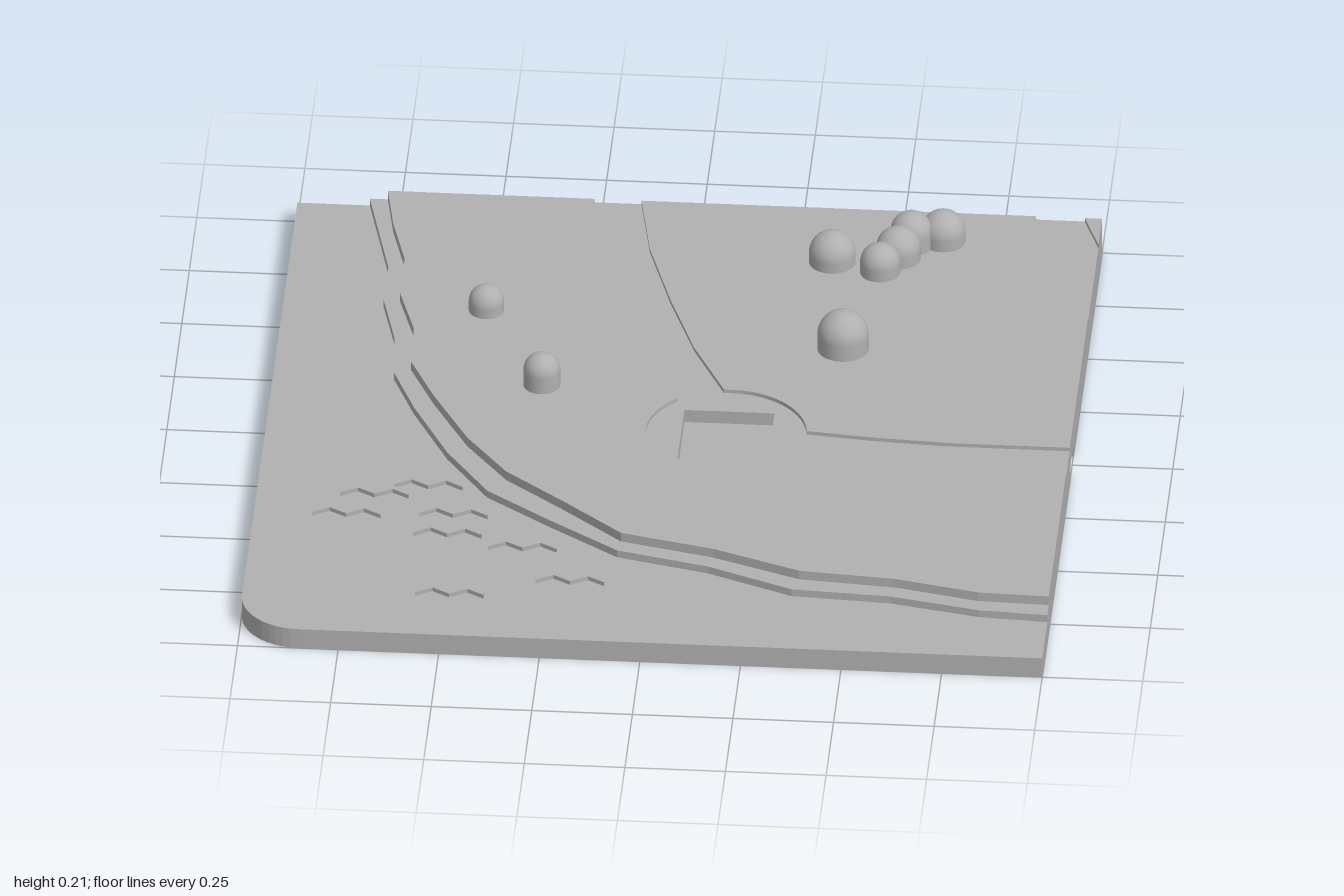
import * as THREE from 'three';

const stone = new THREE.MeshStandardMaterial({ color: 0xb0b0b0 });
stone.name = 'stone grey';

// Heights of the stacked levels
const NOTCH = 0.035, SEA = 0.055, BEACH = 0.075, PATH = 0.09, LAND = 0.1;

// Flat slab between two heights, outlined by [x, z] points
function slab(name, outline, y0, y1, holes = []) {
  const toVec = ([x, z]) => new THREE.Vector2(x, -z);
  const shape = new THREE.Shape(outline.map(toVec));
  for (const h of holes) shape.holes.push(new THREE.Path(h.map(toVec)));
  const geo = new THREE.ExtrudeGeometry(shape, { depth: y1 - y0, bevelEnabled: false });
  geo.rotateX(-Math.PI / 2).translate(0, y0, 0);
  const mesh = new THREE.Mesh(geo, stone);
  mesh.name = name;
  return mesh;
}

// Points on a circle from angle a to angle b (z = sin)
function arc(cx, cz, r, a, b, n) {
  const pts = [];
  for (let i = 0; i <= n; i++) {
    const t = a + ((b - a) * i) / n;
    pts.push([cx + r * Math.cos(t), cz + r * Math.sin(t)]);
  }
  return pts;
}

// Round-topped tree standing on the land
function tree(x, z, r, top) {
  const profile = [new THREE.Vector2(r, LAND)];
  for (let i = 0; i <= 12; i++) {
    const t = (i / 12) * Math.PI / 2;
    profile.push(new THREE.Vector2(i === 12 ? 0 : r * Math.cos(t), top - r + r * Math.sin(t)));
  }
  const mesh = new THREE.Mesh(new THREE.LatheGeometry(profile, 32), stone);
  mesh.position.set(x, 0, z);
  mesh.name = 'tree';
  return mesh;
}

// Zigzag ripple on the sea
function wave(x, z) {
  const steps = [-0.085, -0.043, 0, 0.043, 0.085];
  const edge = (off) => steps.map((dx, i) => [x + dx, z + (i % 2 ? -0.014 : 0.012) + off]);
  return slab('wave', [...edge(-0.008), ...edge(0.008).reverse()], SEA, 0.066);
}

export function createModel() {
  const model = new THREE.Group();
  model.name = 'coastTile';

  // Base with one rounded corner; the lower layer has dovetail connector slots
  const corner = arc(-0.85, 0.85, 0.15, Math.PI / 2, Math.PI, 12);
  const rightSlot = [[1, -0.04], [0.85, -0.08], [0.85, 0.09], [1, 0.05]];
  const backSlot = [[-0.5, -1], [-0.54, -0.85], [-0.37, -0.85], [-0.41, -1]];
  model.add(slab('slottedBase',
    [[-1, -1], ...backSlot, [1, -1], ...rightSlot, [1, 1], ...corner], 0, NOTCH));
  model.add(slab('sea', [[-1, -1], [1, -1], [1, 1], ...corner], NOTCH, SEA));

  // Coast terraces, pierced by the square pit
  const shore = [[-0.82, -1], [-0.786, -0.845], [-0.75, -0.68], [-0.75, -0.525], [-0.71, -0.35],
    [-0.7, -0.19], [-0.637, -0.027], [-0.54, 0.176], [-0.428, 0.348], [-0.262, 0.476],
    [-0.086, 0.604], [0.144, 0.663], [0.358, 0.754], [0.604, 0.77], [0.829, 0.818], [1, 0.829]];
  const cliff = [[-0.775, -1], [-0.75, -0.845], [-0.71, -0.685], [-0.71, -0.525], [-0.663, -0.36],
    [-0.658, -0.203], [-0.588, -0.043], [-0.492, 0.144], [-0.385, 0.294], [-0.235, 0.422],
    [-0.08, 0.561], [0.155, 0.62], [0.374, 0.706], [0.615, 0.727], [0.824, 0.775], [1, 0.781]];
  const pit = [[0.033, -0.043], [0.257, -0.043], [0.257, 0.187], [0.033, 0.187]];
  model.add(slab('beach', [...shore, [1, -1]], SEA, BEACH, [pit]));
  model.add(slab('pathLevel', [...cliff, [1, -1]], BEACH, PATH, [pit]));

  // Raised land, leaving the paths, round plaza and stream sunken
  const cx = 0.145, cz = 0.07, r = 0.2;
  const angle = (x, z) => Math.atan2(z - cz, x - cx);
  const plazaWest = arc(cx, cz, r, angle(0.325, 0.16), angle(0.015, -0.08) + 2 * Math.PI, 36);
  const plazaEast = arc(cx, cz, r, angle(0.125, -0.13), angle(0.34, 0.05), 18);
  model.add(slab('westLand', [...cliff,
    [1, 0.2], [0.92, 0.2], [0.78, 0.197], [0.57, 0.182], ...plazaWest,
    [-0.075, -0.305], [-0.155, -0.535], [-0.222, -0.775], [-0.262, -1]], PATH, LAND));
  model.add(slab('eastLand', [[-0.145, -1], [-0.107, -0.775], [-0.037, -0.535], [0.037, -0.32],
    ...plazaEast, [0.51, 0.068], [0.7, 0.08], [1, 0.08],
    [1, -0.53], [0.93, -0.68], [0.872, -0.855], [0.835, -1]], PATH, LAND));
  model.add(slab('cornerLand', [[0.957, -1], [1, -1], [1, -0.877]], PATH, LAND));

  // Trees: x, z, radius, top height
  const trees = [[-0.49, -0.46, 0.044, 0.17], [-0.327, -0.12, 0.046, 0.19],
    [0.405, -0.345, 0.064, 0.206], [0.348, -0.75, 0.058, 0.185], [0.47, -0.71, 0.05, 0.18],
    [0.51, -0.78, 0.056, 0.185], [0.538, -0.84, 0.052, 0.195], [0.615, -0.868, 0.055, 0.185]];
  for (const t of trees) model.add(tree(...t));

  // Sea ripples
  const waves = [[-0.577, 0.3], [-0.707, 0.348], [-0.77, 0.445], [-0.505, 0.43],
    [-0.513, 0.522], [-0.322, 0.574], [-0.487, 0.803], [-0.193, 0.722]];
  for (const w of waves) model.add(wave(...w));

  return model;
}
